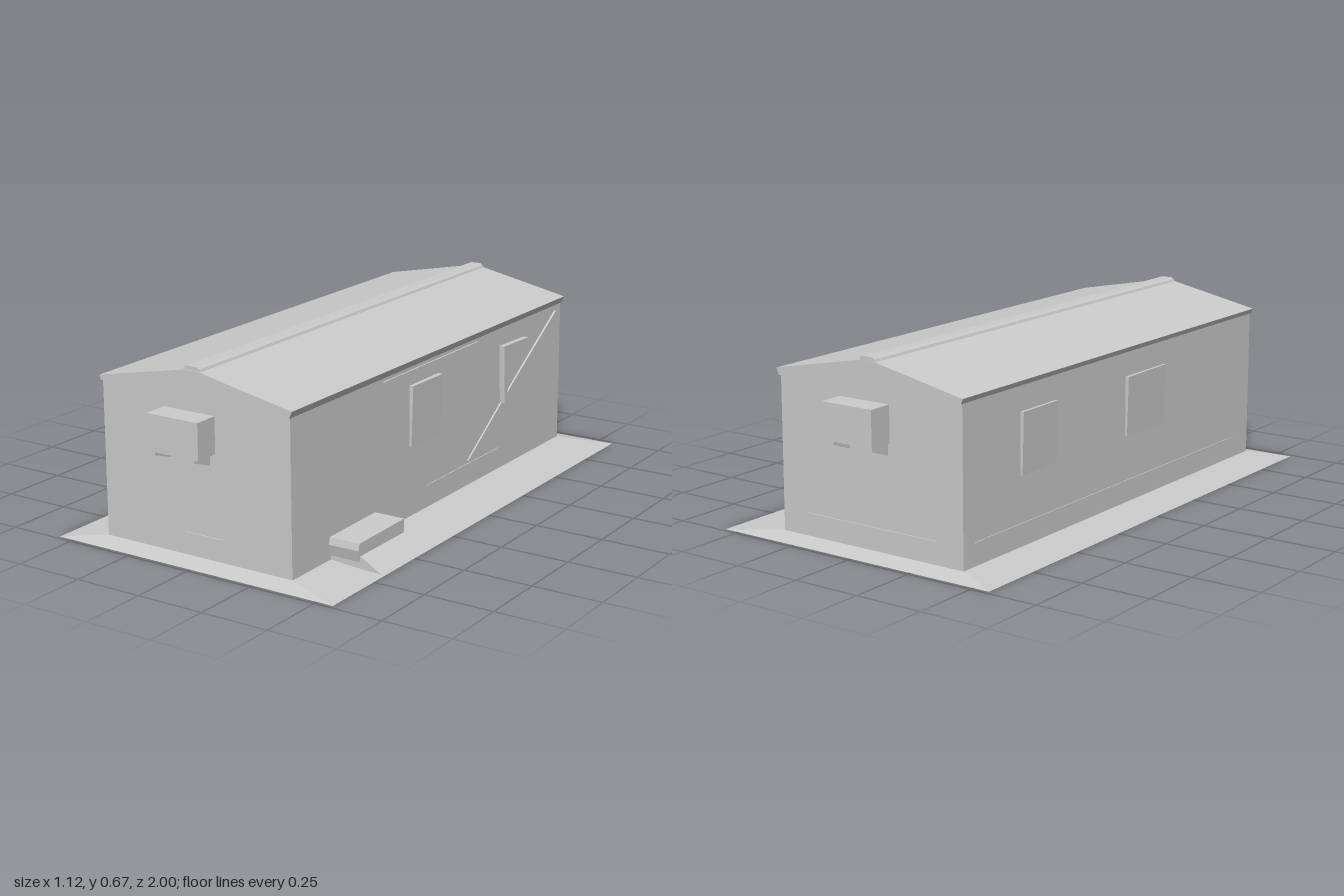
import * as THREE from 'three';

export function createModel() {
  const model = new THREE.Group();
  const grey = new THREE.MeshStandardMaterial({ color: 0xcccccc });
  grey.name = 'plain grey';

  const add = (name, geometry, x = 0, y = 0, z = 0) => {
    const mesh = new THREE.Mesh(geometry, grey);
    mesh.name = name;
    mesh.position.set(x, y, z);
    model.add(mesh);
    return mesh;
  };
  // Extrude an outline of [x, y] points along z
  const prism = (points, depth) => new THREE.ExtrudeGeometry(
    new THREE.Shape(points.map(([x, y]) => new THREE.Vector2(x, y))),
    { depth, bevelEnabled: false });
  // Extrude an outline of [z, y] points inwards from the plane x = outer
  const sidePrism = (name, points, outer, depth) => {
    add(name, prism(points, depth), outer).rotation.y = -Math.PI / 2;
  };
  // Box given by its limits
  const block = (name, x0, x1, y0, y1, z0, z1) => add(name,
    new THREE.BoxGeometry(x1 - x0, y1 - y0, z1 - z0),
    (x0 + x1) / 2, (y0 + y1) / 2, (z0 + z1) / 2);

  // Ground skirt, sloping up to the walls
  const skirt = new THREE.BoxGeometry(1.12, 0.015, 1.97);
  const p = skirt.attributes.position;
  for (let i = 0; i < p.count; i++) {
    if (p.getY(i) > 0) {
      p.setX(i, p.getX(i) > 0 ? 0.36 : -0.41);
      p.setZ(i, Math.sign(p.getZ(i)) * 0.91);
    }
  }
  skirt.computeVertexNormals();
  add('groundSkirt', skirt, 0, 0.0075, 0);

  // Walls with gable ends
  add('walls', prism([[-0.405, 0.01], [0.355, 0.01], [0.352, 0.565],
    [0, 0.645], [-0.06, 0.645], [-0.405, 0.57]], 1.82), 0, 0, -0.91);

  // Roof slab and ridge cap
  add('roof', prism([[-0.415, 0.58], [-0.408, 0.562], [-0.06, 0.635], [0, 0.635],
    [0.352, 0.555], [0.363, 0.58], [0, 0.652], [-0.06, 0.652]], 1.836), 0, 0, -0.92);
  add('ridgeCap', prism([[-0.07, 0.64], [0.01, 0.64], [0, 0.66], [-0.01, 0.666],
    [-0.05, 0.666], [-0.06, 0.66]], 1.83), 0, 0, -0.918);

  // Air conditioner on each gable end, with two brackets
  for (const [x, y, s] of [[-0.047, 0.45, 1], [-0.008, 0.455, -1]]) {
    const zs = [s * 0.9, s * 1.0].sort((a, b) => a - b);
    block('airConditioner', x - 0.103, x + 0.103, y - 0.065, y + 0.063, ...zs);
    for (const dx of [-0.088, 0.073]) {
      const bracket = prism([[0, 0], [0.085, 0], [0.085, -0.015], [0, -0.045]], 0.016);
      add('bracket', bracket, x + dx + s * 0.008, y - 0.064, s * 0.905)
        .rotation.y = -s * Math.PI / 2;
    }
  }

  // Window panels, leaning out slightly at one edge
  const windowPanel = (outer, side, z0, z1, y0, y1) => {
    const g = new THREE.BoxGeometry(0.04, y1 - y0, z1 - z0);
    const q = g.attributes.position;
    for (let i = 0; i < q.count; i++) {
      if (q.getX(i) * side > 0 && q.getY(i) < 0) q.setX(i, q.getX(i) - side * 0.005);
      if (q.getX(i) * side > 0 && q.getZ(i) > 0) q.setX(i, q.getX(i) - side * 0.004);
    }
    g.computeVertexNormals();
    add('windowPanel', g, outer - side * 0.02, (y0 + y1) / 2, (z0 + z1) / 2);
  };
  windowPanel(0.371, 1, 0.01, 0.2, 0.27, 0.49);
  windowPanel(-0.418, -1, 0.03, 0.28, 0.26, 0.475);
  windowPanel(-0.418, -1, -0.6, -0.4, 0.26, 0.475);

  // Cut-off window frame and the diagonal ledge beneath it
  sidePrism('cutWindowFrame', [[-0.615, 0.485], [-0.6, 0.45], [-0.475, 0.455],
    [-0.463, 0.31], [-0.44, 0.27], [-0.43, 0.49]], 0.373, 0.03);
  sidePrism('diagonalLedge', [[-0.86, 0.535], [-0.52, 0.308], [-0.2, 0.11],
    [-0.52, 0.322]], 0.36, 0.02);

  // Entrance step with a splayed foot
  sidePrism('stepTop', [[0.42, 0.075], [0.425, 0.03], [0.69, 0.03], [0.7, 0.07],
    [0.695, 0.095], [0.42, 0.098]], 0.47, 0.13);
  add('stepFoot', prism([[0.35, 0.005], [0.55, 0.005], [0.47, 0.05], [0.35, 0.06]], 0.27),
    0, 0, 0.42);

  // Thin base trims along the walls
  block('endTrim', -0.07, 0.085, 0.092, 0.096, 0.9, 0.914);
  block('endTrim', -0.3, 0.25, 0.092, 0.096, -0.914, -0.9);
  block('sideTrim', 0.34, 0.358, 0.094, 0.098, -0.43, 0.08);
  block('sideTrim', 0.34, 0.358, 0.54, 0.544, -0.26, 0.37);
  block('sideTrim', -0.408, -0.39, 0.092, 0.096, -0.85, 0.8);

  return model;
}
